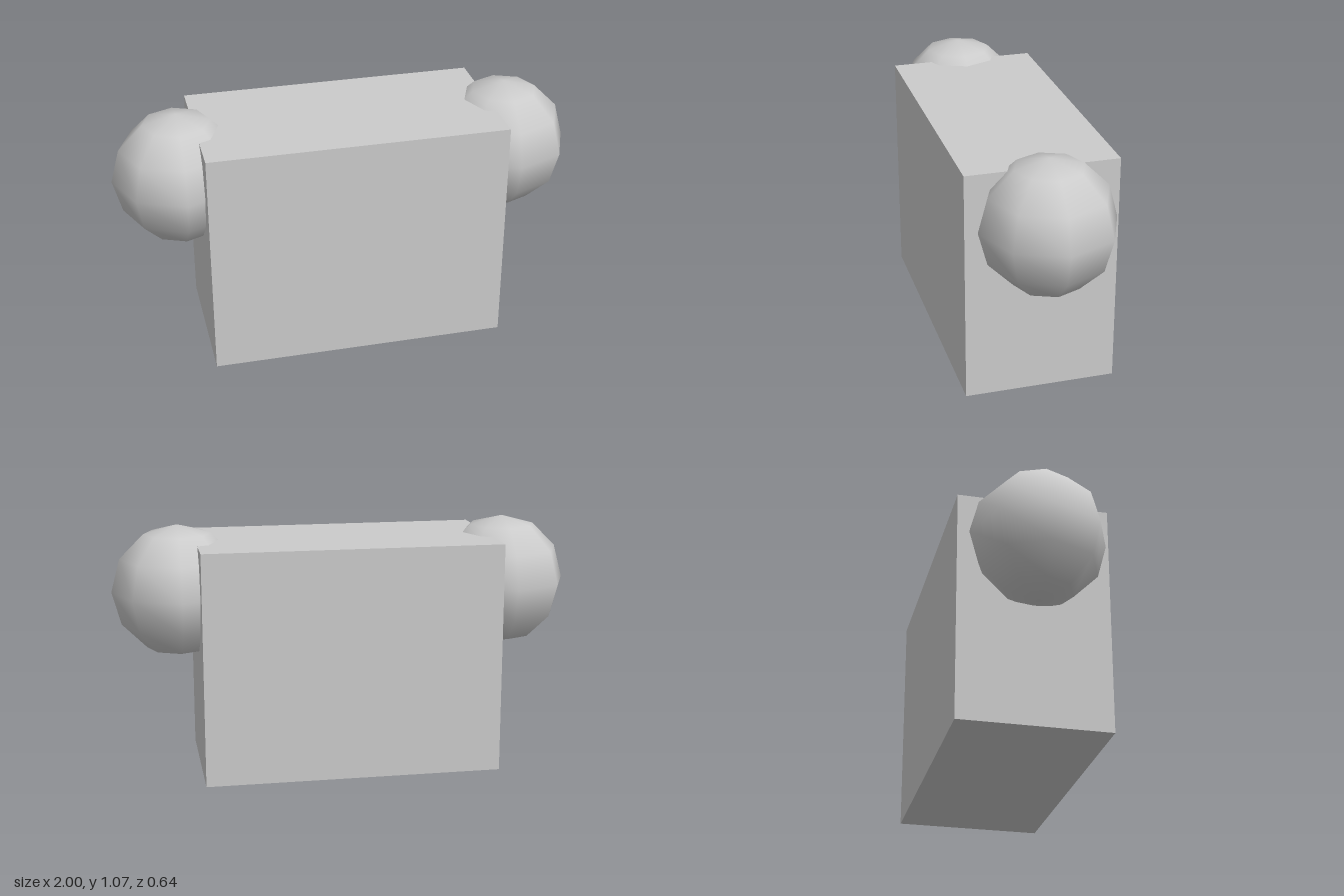
import * as THREE from 'three';

export function createModel() {
  const model = new THREE.Group();
  const material = new THREE.MeshStandardMaterial({ color: 0xcccccc });

  // Upright block standing on the ground
  const body = new THREE.Mesh(new THREE.BoxGeometry(1.28, 1, 0.64), material);
  body.name = 'body';
  body.position.y = 0.5;
  model.add(body);

  // Smooth-shaded low-poly ball sunk into each upper side
  const ballGeometry = new THREE.SphereGeometry(0.285, 8, 6);
  for (const side of [1, -1]) {
    const ball = new THREE.Mesh(ballGeometry, material);
    ball.name = side > 0 ? 'leftShoulderBall' : 'rightShoulderBall';
    ball.position.set(side * 0.715, 0.787, 0);
    model.add(ball);
  }

  return model;
}
